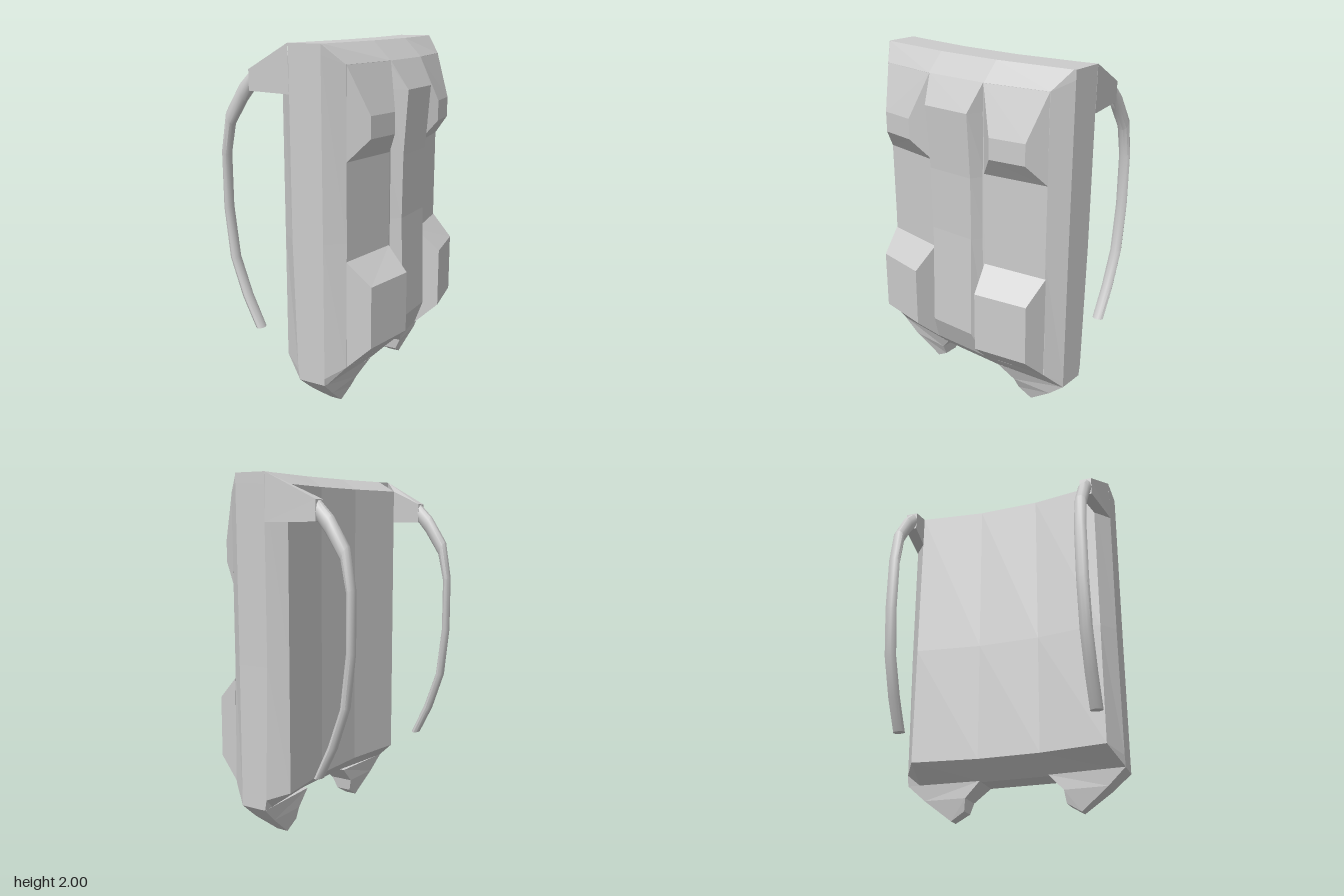
import * as THREE from 'three';
import { toCreasedNormals } from 'three/addons/utils/BufferGeometryUtils.js';

const grey = new THREE.MeshStandardMaterial({ color: 0xcccccc, flatShading: true });
const smooth = new THREE.MeshStandardMaterial({ color: 0xcccccc });

// Closed skin over rings of [x, y, z]; winding is fixed from the signed volume.
function loft(rings) {
  const n = rings[0].length, last = rings.length - 1, tris = [];
  const quad = (a, b, c, d) => tris.push([a, b, c], [a, c, d]);
  for (let r = 0; r < last; r++) {
    for (let i = 0; i < n; i++) {
      const j = (i + 1) % n;
      quad(rings[r][i], rings[r][j], rings[r + 1][j], rings[r + 1][i]);
    }
  }
  // Caps as strips joining opposite points of the ring
  for (let i = 0; i < n / 2 - 1; i++) {
    const ids = [i, i + 1, n - 2 - i, n - 1 - i];
    quad(...ids.map(k => rings[last][k]));
    quad(...ids.map(k => rings[0][k]).reverse());
  }
  const v = p => new THREE.Vector3(...p);
  const volume = tris.reduce((s, [a, b, c]) => s + v(a).dot(v(b).cross(v(c))), 0);
  const pos = tris.flatMap(t => (volume < 0 ? [t[0], t[2], t[1]] : t).flat());
  const g = new THREE.BufferGeometry();
  g.setAttribute('position', new THREE.Float32BufferAttribute(pos, 3));
  g.computeVertexNormals();
  return g;
}

export function createModel() {
  const model = new THREE.Group();
  const add = (name, geometry, material = grey) => {
    const mesh = new THREE.Mesh(geometry, material);
    mesh.name = name;
    model.add(mesh);
  };
  const flip = (rings, s) => rings.map(r => r.map(([x, y, z]) => [x, y, z * s]));

  // Main pack: half rings (side, back corner, back middle, outer middle, outer corner, rim)
  const levels = [
    [[0.04, 0.21, 0.63], [0.045, 0.21, 0.56], [0.09, 0.21, 0.19], [0.245, 0.21, 0.19], [0.2, 0.21, 0.61], [0.195, 0.21, 0.63]],
    [[0.03, 0.27, 0.63], [-0.08, 0.31, 0.56], [-0.03, 0.31, 0.18], [0.345, 0.31, 0.185], [0.29, 0.31, 0.565], [0.195, 0.25, 0.63]],
    [[0.01, 1, 0.633], [-0.08, 1, 0.56], [-0.03, 1, 0.18], [0.345, 1, 0.185], [0.29, 1, 0.555], [0.195, 1, 0.633]],
    [[0.01, 1.94, 0.64], [-0.08, 1.94, 0.56], [-0.03, 1.94, 0.18], [0.345, 1.9, 0.19], [0.29, 1.9, 0.56], [0.195, 1.95, 0.64]],
    [[0.005, 2, 0.64], [0.02, 2, 0.55], [0.06, 2, 0.18], [0.245, 2, 0.19], [0.2, 2, 0.63], [0.195, 2, 0.64]],
  ];
  add('packBody', loft(levels.map(h => {
    const m = h.map(([x, y, z]) => [x, y, -z]);
    return [...h.slice(0, 3), ...m.slice(0, 3).reverse(), ...m.slice(3).reverse(), ...h.slice(3)];
  })));

  // Raised central spine: [y, base half width, face half width, face x]
  const spine = [
    [1.9, 0.19, 0.185, 0.345], [1.75, 0.188, 0.145, 0.43], [1.4, 0.185, 0.142, 0.405],
    [1.05, 0.183, 0.14, 0.4], [0.47, 0.183, 0.142, 0.415], [0.31, 0.185, 0.18, 0.345],
  ];
  add('centralSpine', loft(spine.map(([y, b, f, x]) =>
    [[0.33, y, b], [x, y, f], [x, y, -f], [0.33, y, -b]])));

  // Bevelled pocket: base and face rectangles, with x at the outer and inner edges
  const pocket = (base, face) => [base, face].map(([y0, y1, zo, zi, xo, xi]) =>
    [[xo, y0, zo], [xi, y0, zi], [xi, y1, zi], [xo, y1, zo]]);

  // Strap edges in the xy plane: [outer x, outer y, inner x, inner y]
  const strap = [
    [-0.265, 1.86, -0.265, 1.75], [-0.345, 1.78, -0.315, 1.69], [-0.44, 1.63, -0.4, 1.56],
    [-0.475, 1.42, -0.435, 1.4], [-0.475, 1.1, -0.435, 1.11], [-0.445, 0.82, -0.4, 0.82],
    [-0.37, 0.6, -0.325, 0.61], [-0.285, 0.43, -0.24, 0.43],
  ];
  const strapRings = strap.map(([ox, oy, ix, iy]) => Array.from({ length: 10 }, (_, i) => {
    const a = (i + 0.5) * Math.PI / 5, t = 0.5 + 0.5 * Math.cos(a) / Math.cos(Math.PI / 10);
    return [ix + (ox - ix) * t, iy + (oy - iy) * t, 0.555 + 0.035 * Math.sin(a)];
  }));

  for (const [side, s] of [['left', 1], ['right', -1]]) {
    add(side + 'UpperPocket', loft(flip(pocket(
      [1.42, 1.9, 0.558, 0.187, 0.29, 0.345], [1.535, 1.65, 0.49, 0.282, 0.39, 0.42]), s)));
    add(side + 'LowerPocket', loft(flip(pocket(
      [0.31, 0.9, 0.56, 0.186, 0.29, 0.345], [0.435, 0.775, 0.53, 0.222, 0.42, 0.475]), s)));

    // Wedge joining the strap to the top of the pack
    add(side + 'Shoulder', loft(flip([
      [[0.005, 2, 0.64], [-0.08, 1.94, 0.56], [-0.08, 1.75, 0.56], [0.01, 1.75, 0.64]],
      [[-0.27, 1.86, 0.59], [-0.27, 1.86, 0.522], [-0.27, 1.75, 0.522], [-0.27, 1.75, 0.59]],
    ], s)));
    add(side + 'Strap', toCreasedNormals(loft(flip(strapRings, s)), 0.7), smooth);

    // Tapered foot under the pack
    add(side + 'Foot', loft(flip([
      [[0.04, 0.21, 0.63], [0.195, 0.21, 0.63], [0.245, 0.21, 0.2], [0.06, 0.21, 0.2]],
      [[0.055, 0.12, 0.53], [0.185, 0.12, 0.53], [0.2, 0.12, 0.285], [0.06, 0.12, 0.285]],
      [[0.08, 0, 0.375], [0.15, 0, 0.375], [0.165, 0.05, 0.295], [0.075, 0.05, 0.295]],
    ], s)));
  }
  return model;
}
